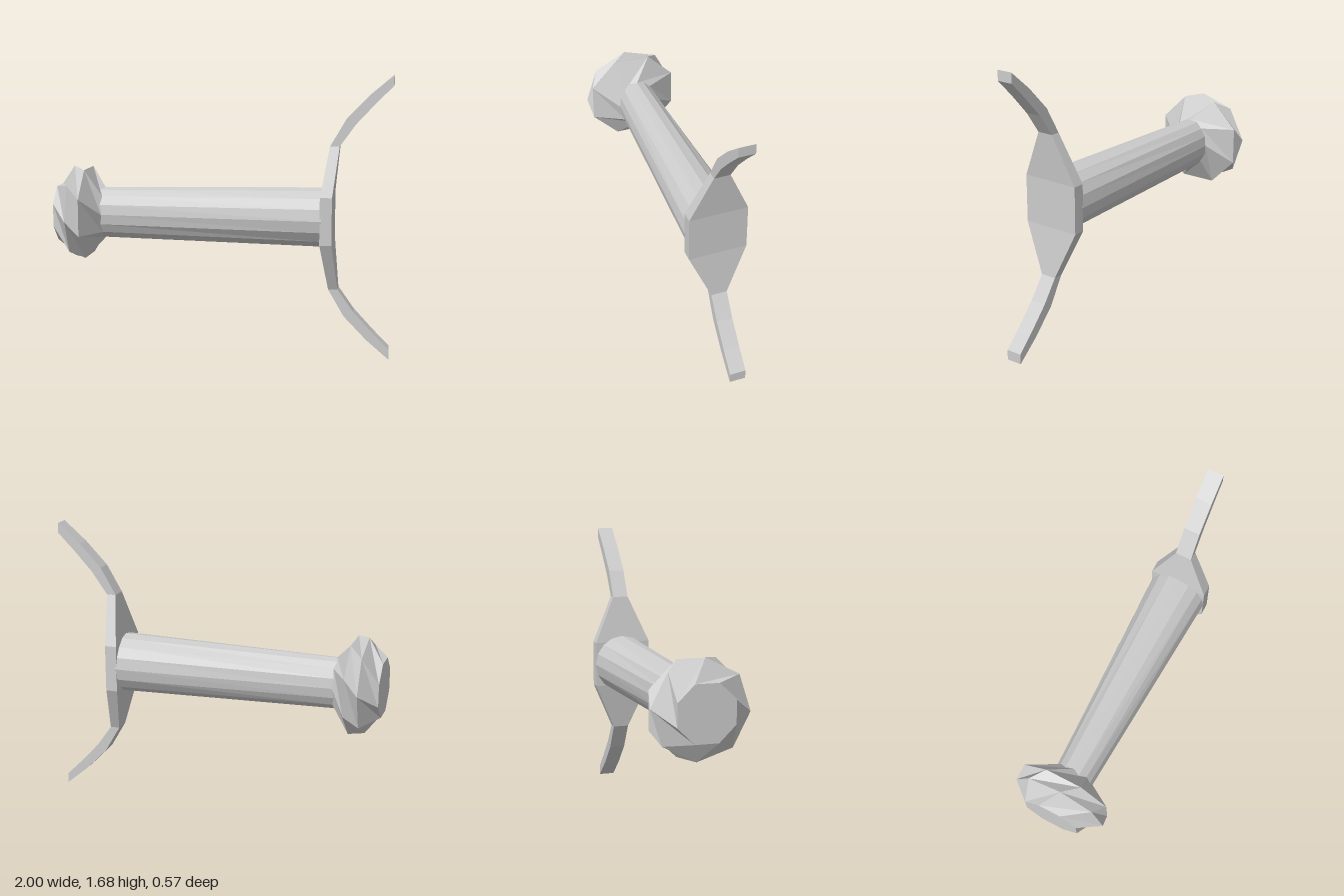
import * as THREE from 'three';

const CY = 0.842; // height of the long axis
const mat = () => new THREE.MeshStandardMaterial({ color: 0xcccccc, flatShading: true });

// Flat-faced skin over equal-length cross-sections, capped at both ends
function loft(name, rings) {
  const n = rings[0].length;
  const pos = rings.flat(2);
  const idx = [];
  for (let r = 0; r < rings.length - 1; r++) {
    for (let i = 0; i < n; i++) {
      const a = r * n + i, b = r * n + (i + 1) % n;
      idx.push(a, a + n, b, b, a + n, b + n);
    }
  }
  const last = (rings.length - 1) * n;
  for (let i = 1; i < n - 1; i++) {
    idx.push(0, i, i + 1, last, last + i + 1, last + i);
  }
  const geo = new THREE.BufferGeometry();
  geo.setAttribute('position', new THREE.Float32BufferAttribute(pos, 3));
  geo.setIndex(idx);
  const flat = geo.toNonIndexed();
  flat.computeVertexNormals();
  const mesh = new THREE.Mesh(flat, mat());
  mesh.name = name;
  return mesh;
}

// Elliptical ring around the x axis; turning from +z towards +y
function ring(x, ry, rz, sides, turn = 0) {
  return Array.from({ length: sides }, (_, i) => {
    const a = turn + (i / sides) * Math.PI * 2;
    return [x, CY + ry * Math.sin(a), rz * Math.cos(a)];
  });
}

export function createModel() {
  const group = new THREE.Group();
  group.name = 'hilt';

  // Faceted pommel: octagonal rings twisted against each other
  const step = Math.PI / 8;
  group.add(loft('pommel', [
    ring(-1, 0.175, 0.178, 8, step),
    ring(-0.9, 0.284, 0.284, 8, -0.08),
    ring(-0.82, 0.288, 0.288, 8, -step),
    ring(-0.72, 0.155, 0.12, 8, -step * 2),
  ]));

  // Grip: oval at the pommel, round at the guard
  group.add(loft('grip', [
    ring(-0.74, 0.153, 0.117, 16),
    ring(0.6, 0.178, 0.178, 16),
  ]));

  // Guard stations for one arm: back x, back y, front x, front y, half width
  const arm = [
    [0.59, 0.14, 0.66, 0.14, 0.175],
    [0.637, 0.425, 0.693, 0.425, 0.048],
    [0.73, 0.585, 0.785, 0.555, 0.048],
    [0.865, 0.725, 0.9, 0.68, 0.048],
    [1, 0.84, 1, 0.78, 0.048],
  ];
  const section = ([bx, by, fx, fy, w], s) => [
    [bx, CY + s * by, w], [fx, CY + s * fy, w],
    [fx, CY + s * fy, -w], [bx, CY + s * by, -w],
  ];
  group.add(loft('crossguard', [
    ...[...arm].reverse().map((p) => section(p, -1)),
    ...arm.map((p) => section(p, 1)),
  ].map((r) => r.reverse())));

  return group;
}
